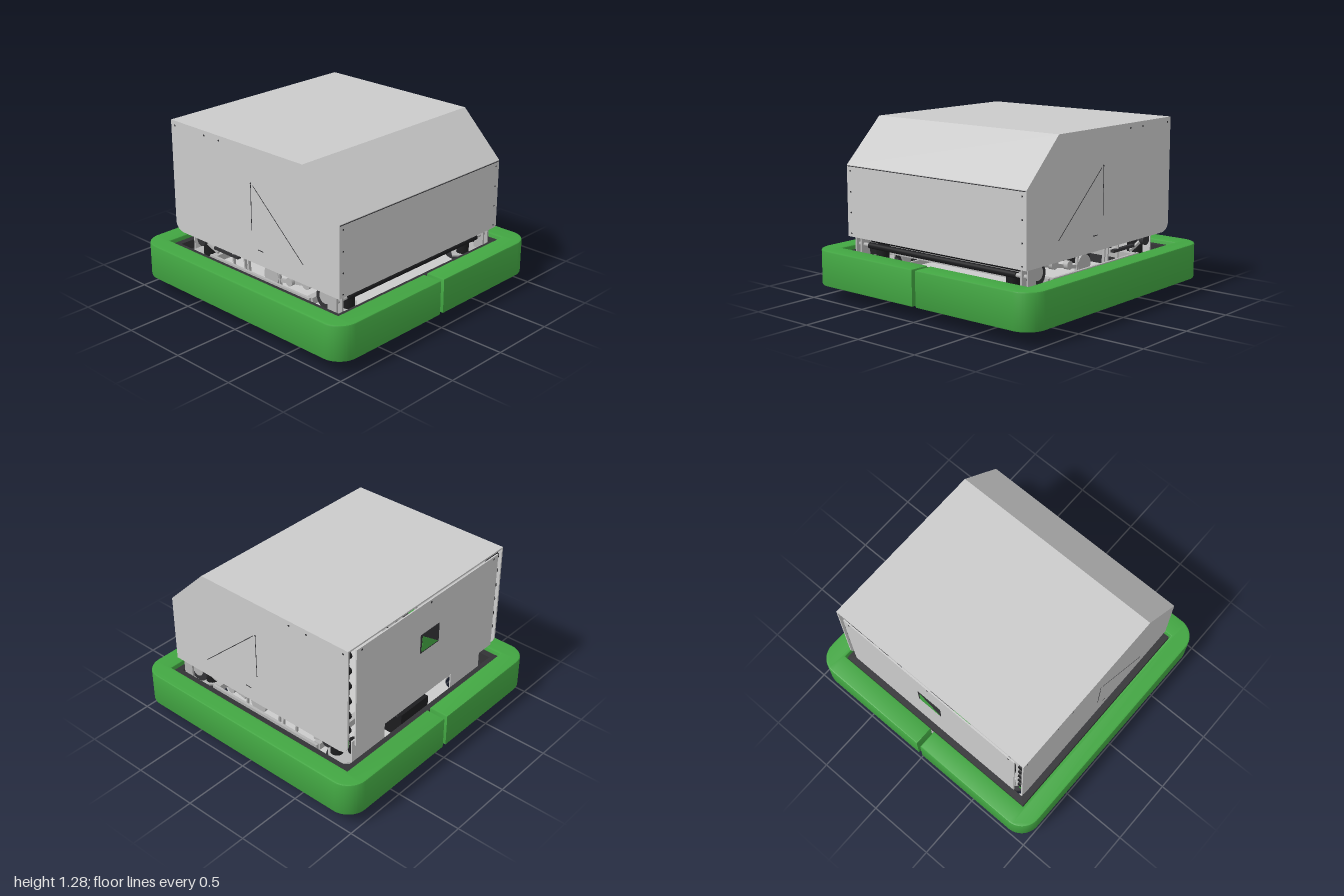
import * as THREE from 'three';
import { toCreasedNormals } from 'three/addons/utils/BufferGeometryUtils.js';

const mat = (name, color, side = THREE.FrontSide) => {
  const m = new THREE.MeshStandardMaterial({ color, side });
  m.name = name;
  return m;
};

export function createModel() {
  const panel = mat('panel grey', 0xcbcbcb);
  const green = mat('bumper green', 0x42a642);
  const dark = mat('frame charcoal', 0x333336);
  const black = mat('roller black', 0x1c1c1e);
  const tyre = mat('tyre grey', 0x858585);
  const metal = mat('bare metal', 0xb4b4b4);
  const root = new THREE.Group();

  const add = (name, geo, m, x = 0, y = 0, z = 0, parent = root) => {
    const mesh = new THREE.Mesh(geo, m);
    mesh.name = name;
    mesh.position.set(x, y, z);
    parent.add(mesh);
    return mesh;
  };
  const box = (name, m, w, h, d, x, y, z, parent) =>
    add(name, new THREE.BoxGeometry(w, h, d), m, x, y, z, parent);
  const rod = (name, m, r, len, x, y, z, parent) =>
    add(name, new THREE.CylinderGeometry(r, r, len, 24).rotateZ(Math.PI / 2), m, x, y, z, parent);
  const poly = (pts) => new THREE.Shape(pts.map(([a, b]) => new THREE.Vector2(a, b)));
  // Side profile (z, y) extruded symmetrically along x
  const acrossX = (shape, width) =>
    new THREE.ExtrudeGeometry(shape, { depth: width, bevelEnabled: false, curveSegments: 10 })
      .rotateY(-Math.PI / 2).translate(width / 2, 0, 0);
  // Plan shape (x, z) extruded down from a top height
  const plan = (shape, top, depth) =>
    new THREE.ExtrudeGeometry(shape, { depth, bevelEnabled: false, curveSegments: 16 })
      .rotateX(Math.PI / 2).translate(0, top, 0);
  // Bar in the side plane between two (z, y) points
  const bar = (name, m, x, a, b, t, w, parent) => {
    const dz = b[0] - a[0], dy = b[1] - a[1];
    const mesh = box(name, m, w, t, Math.hypot(dz, dy), x, (a[1] + b[1]) / 2, (a[0] + b[0]) / 2, parent);
    mesh.rotation.x = -Math.atan2(dy, dz);
    return mesh;
  };

  // Bumper: two C-shaped halves with a gap front and back
  const g = 0.016, r = 0.15, e = 1 - r;
  const half = new THREE.Shape();
  half.moveTo(g, -0.995);
  half.lineTo(e, -0.995);
  half.absarc(e, -0.995 + r, r, -Math.PI / 2, 0);
  half.lineTo(1, 0.995 - r);
  half.absarc(e, 0.995 - r, r, 0, Math.PI / 2);
  half.lineTo(g, 0.995);
  half.lineTo(g, 0.845);
  half.lineTo(0.86, 0.845);
  half.lineTo(0.86, -0.845);
  half.lineTo(g, -0.845);
  half.closePath();
  const bumperGeo = toCreasedNormals(new THREE.ExtrudeGeometry(half, {
    depth: 0.24, bevelThickness: 0.01, bevelSize: 0.01, bevelOffset: -0.01, bevelSegments: 2, curveSegments: 14,
  }).rotateX(Math.PI / 2).translate(0, 0.35, 0), 0.6);
  add('leftBumper', bumperGeo, green);
  add('rightBumper', bumperGeo, green).rotation.y = Math.PI;

  // Chassis: wall ring and bottom plate with round wheel openings
  const ring = poly([[-0.852, -0.838], [0.852, -0.838], [0.852, 0.838], [-0.852, 0.838]]);
  ring.holes.push(poly([[-0.8, -0.79], [-0.8, 0.79], [0.8, 0.79], [0.8, -0.79]]));
  add('chassisFrame', plan(ring, 0.33, 0.24), dark);
  const floor = poly([[-0.8, -0.79], [0.8, -0.79], [0.8, 0.79], [-0.8, 0.79]]);
  for (const sx of [-1, 1]) for (const sz of [-1, 1]) {
    const hole = new THREE.Path();
    hole.absarc(sx * 0.66, sz * 0.66, 0.125, 0, Math.PI * 2, true);
    floor.holes.push(hole);
  }
  add('floorPlate', plan(floor, 0.115, 0.02), panel);
  for (const sz of [-1, 1]) box('frameLatch', metal, 0.1, 0.07, 0.006, 0, 0.255, sz * 0.84);

  // Swivelling wheel modules, wheel axles pointing outward along the diagonals
  for (const sx of [-1, 1]) for (const sz of [-1, 1]) {
    const mod = new THREE.Group();
    mod.name = 'wheelModule';
    mod.position.set(sx * 0.66, 0, sz * 0.66);
    mod.rotation.y = Math.atan2(-sz, sx);
    root.add(mod);
    rod('wheelTyre', tyre, 0.12, 0.1, 0, 0.12, 0, mod);
    rod('wheelHub', black, 0.085, 0.116, 0, 0.12, 0, mod);
    rod('wheelAxle', metal, 0.02, 0.15, 0, 0.12, 0, mod);
    for (const s of [-1, 1]) box('wheelFork', dark, 0.015, 0.14, 0.07, s * 0.075, 0.18, 0, mod);
    add('turntable', new THREE.CylinderGeometry(0.135, 0.135, 0.03, 32), dark, 0, 0.25, 0, mod);
    box('modulePlate', metal, 0.2, 0.012, 0.24, 0, 0.272, 0, mod);
    for (const s of [-1, 1])
      add('driveMotor', new THREE.CylinderGeometry(0.045, 0.045, 0.09, 20), black, -0.02, 0.32, s * 0.06, mod);
  }

  // Body shell: bent sheet for front, slope and top
  add('bodyCover', acrossX(poly([
    [0.815, 0.445], [0.815, 0.96], [0.49, 1.28], [-0.81, 1.28],
    [-0.81, 1.268], [0.485, 1.268], [0.803, 0.955], [0.803, 0.445],
  ]), 1.63), panel);
  box('coverSeam', dark, 1.63, 0.005, 0.003, 0, 0.953, 0.8155);

  // Side panels with a rounded lower back corner, slots and rivets
  const side = new THREE.Shape();
  side.moveTo(0.815, 0.445);
  side.lineTo(0.815, 0.96);
  side.lineTo(0.49, 1.28);
  side.lineTo(-0.81, 1.28);
  side.lineTo(-0.81, 0.51);
  side.quadraticCurveTo(-0.8, 0.45, -0.73, 0.445);
  side.closePath();
  const sideGeo = acrossX(side, 0.012);
  for (const s of [-1, 1]) {
    const grp = new THREE.Group();
    grp.name = s > 0 ? 'leftSide' : 'rightSide';
    root.add(grp);
    add('sidePanel', sideGeo, panel, s * 0.814, 0, 0, grp);
    bar('diagonalSlot', dark, s * 0.8195, [0.49, 0.585], [0.02, 1.01], 0.005, 0.003, grp);
    bar('uprightSlot', dark, s * 0.8195, [0, 1.01], [0, 0.68], 0.005, 0.003, grp);
    bar('shortSlot', dark, s * 0.8195, [0.11, 0.555], [0.06, 0.555], 0.006, 0.003, grp);
    for (const [z, y] of [[-0.31, 1.245], [-0.46, 1.245], [-0.77, 1.245], [0, 1.02]])
      rod('rivet', dark, 0.007, 0.003, s * 0.8195, y, z, grp);
    for (const y of [0.47, 0.62, 0.77, 0.92])
      add('frontRivet', new THREE.CylinderGeometry(0.006, 0.006, 0.003, 10).rotateX(Math.PI / 2), dark, s * 0.785, y, 0.8155, grp);

    // Machinery showing through the open back edge
    box('backPost', dark, 0.05, 0.78, 0.05, s * 0.78, 0.85, -0.74, grp);
    for (let i = 0; i < 6; i++) {
      box('backBracket', metal, 0.035, 0.05, 0.03, s * 0.782, 0.55 + i * 0.125, -0.765, grp);
      rod('backPulley', black, 0.03, 0.04, s * 0.782, 0.61 + i * 0.12, -0.765, grp);
    }
    // Lower side truss, struts and pulleys below the shell
    const truss = poly([[-0.5, 0.12], [0.5, 0.12], [0.5, 0.33], [-0.5, 0.33]]);
    for (let i = 0; i < 5; i++) {
      const z = -0.38 + i * 0.19;
      truss.holes.push(poly([[z - 0.07, 0.16], [z, 0.29], [z + 0.07, 0.16]]));
    }
    add('sideTruss', acrossX(truss, 0.02), metal, s * 0.77, 0, 0, grp);
    rod('intakeWheel', dark, 0.085, 0.03, s * 0.76, 0.385, 0.65, grp);
    rod('intakeHub', metal, 0.05, 0.045, s * 0.76, 0.395, 0.65, grp);
    rod('guideWheel', metal, 0.035, 0.04, s * 0.76, 0.42, 0.47, grp);
    rod('guideWheel', metal, 0.03, 0.04, s * 0.76, 0.385, 0.31, grp);
    rod('beltWheel', metal, 0.07, 0.03, s * 0.72, 0.345, 0.09, grp);
    rod('rearPulley', dark, 0.04, 0.04, s * 0.76, 0.41, -0.59, grp);
    bar('intakeArm', metal, s * 0.74, [0.62, 0.44], [0.2, 0.35], 0.025, 0.02, grp);
    bar('rearArm', metal, s * 0.74, [-0.45, 0.35], [-0.75, 0.46], 0.02, 0.02, grp);
    bar('sideRail', dark, s * 0.74, [-0.23, 0.38], [-0.48, 0.38], 0.02, 0.03, grp);
    for (const z of [0.19, -0.12, -0.16, -0.28])
      bar('strut', metal, s * 0.74, [z, 0.3], [z - 0.02, 0.52], 0.012, 0.02, grp);
    for (const x of [0.74, 0.79]) box('frontBracket', metal, 0.015, 0.36, 0.08, s * x, 0.3, 0.73, grp);
    // Recessed lower back plate
    box('lowerBackPlate', panel, 0.34, 0.24, 0.01, s * 0.54, 0.34, -0.75, grp);
    box('cornerGuide', green, 0.03, 0.05, 0.015, s * 0.78, 0.49, -0.77, grp);
  }

  // Back panel with a plain window
  box('backPanel', panel, 1.5, 0.77, 0.01, 0, 0.875, -0.816);
  box('backWindow', dark, 0.2, 0.15, 0.004, 0, 0.95, -0.822);
  add('windowInsert', new THREE.ExtrudeGeometry(poly([[-0.09, 0.885], [0.09, 0.885], [0.08, 1.01]]),
    { depth: 0.003, bevelEnabled: false }), green, 0, 0, -0.8265);
  for (const x of [-0.7, 0, 0.7]) box('backRivet', dark, 0.012, 0.012, 0.003, x, 1.24, -0.8215);

  // Front intake rollers
  for (const [y, z] of [[0.385, 0.74], [0.425, 0.71]]) {
    rod('intakeRoller', black, 0.022, 1.36, 0, y, z);
    rod('rollerShaft', metal, 0.014, 1.56, 0, y, z);
  }
  // Rear control boxes on the floor
  box('batteryBox', black, 0.3, 0.2, 0.16, 0.02, 0.24, -0.66);
  box('cableBox', dark, 0.16, 0.05, 0.1, 0.12, 0.365, -0.68);
  box('circuitBoard', green, 0.16, 0.015, 0.1, -0.1, 0.35, -0.66);
  box('crossBeam', metal, 1.5, 0.05, 0.05, 0, 0.3, -0.48);
  box('crossBeam', metal, 1.5, 0.05, 0.05, 0, 0.3, 0.48);

  return root;
}
